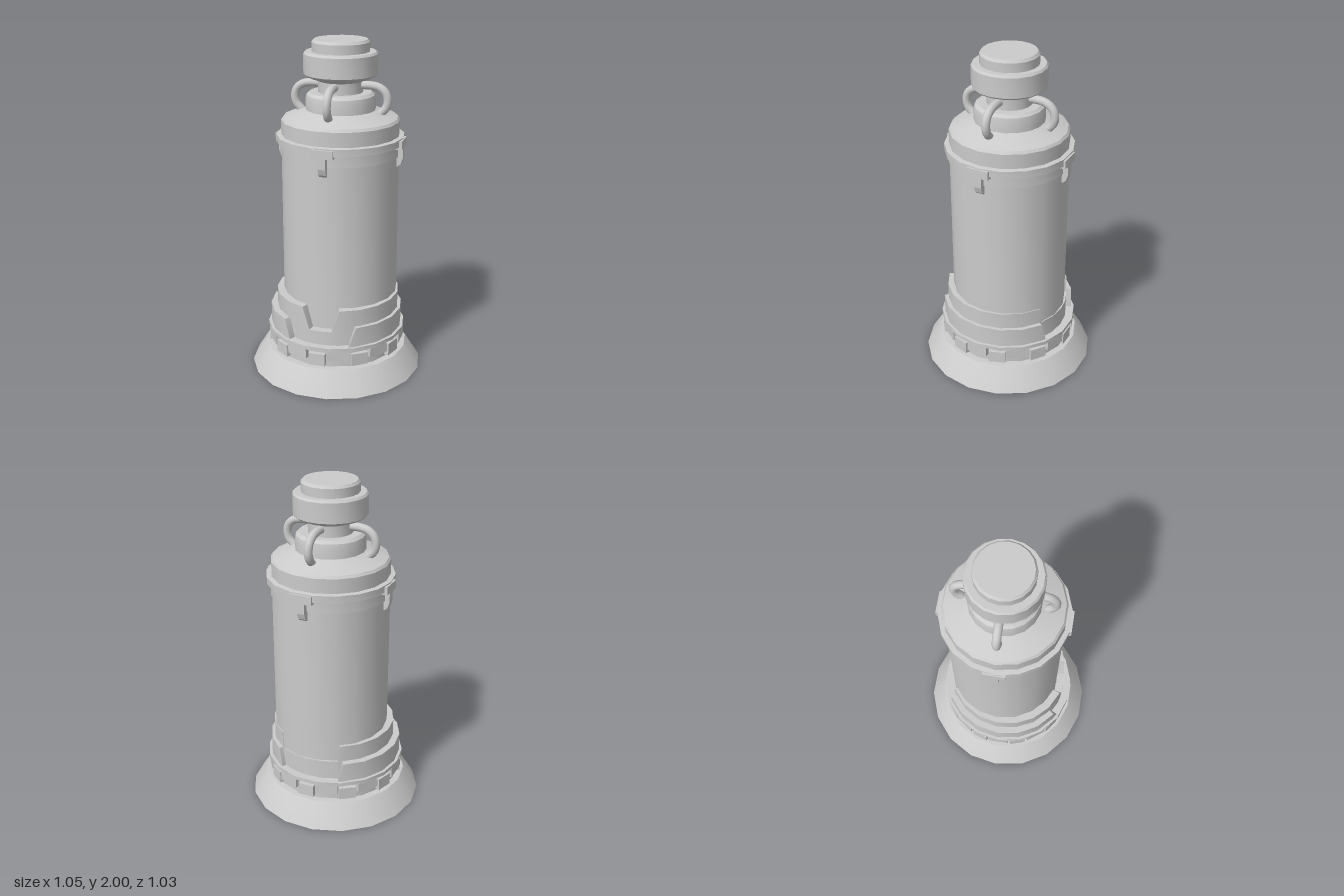
import * as THREE from 'three';
import { toCreasedNormals } from 'three/addons/utils/BufferGeometryUtils.js';

const SIDES = 18;
const RAD = Math.PI / 180;
const material = new THREE.MeshStandardMaterial({ color: 0xcccccc });
const openMaterial = new THREE.MeshStandardMaterial({ color: 0xcccccc, side: THREE.DoubleSide });

function add(parent, name, geometry, mat = material) {
  const mesh = new THREE.Mesh(geometry, mat);
  mesh.name = name;
  parent.add(mesh);
  return mesh;
}

// Turned part from [radius, height] pairs listed upwards
function turned(points) {
  const profile = points.map(([r, y]) => new THREE.Vector2(r, y));
  return toCreasedNormals(new THREE.LatheGeometry(profile, SIDES, 10 * RAD), 0.45);
}

// Curved plate around the body; stations are [angle from front, top height]
function curvedPlate(stations, bottom, rIn, rOut) {
  const positions = [], index = [];
  const section = (deg, top) => {
    const s = Math.sin(deg * RAD), c = Math.cos(deg * RAD);
    for (const [r, y] of [[rIn, bottom], [rOut, bottom], [rOut, top], [rIn, top]]) positions.push(r * s, y, r * c);
  };
  section(...stations[0]);
  for (let i = 1; i < stations.length; i++) {
    const [a0, y0] = stations[i - 1], [a1, y1] = stations[i];
    const steps = Math.ceil((a1 - a0) / 20);
    for (let k = 1; k <= steps; k++) section(a0 + (a1 - a0) * k / steps, y0 + (y1 - y0) * k / steps);
  }
  const count = positions.length / 12;
  for (let i = 0; i < count - 1; i++) {
    for (let j = 0; j < 4; j++) {
      const k = (j + 1) % 4, a = i * 4 + j, b = a + 4, d = i * 4 + k, c = d + 4;
      index.push(a, b, d, b, c, d);
    }
  }
  const e = (count - 1) * 4;
  index.push(0, 1, 2, 0, 2, 3, e, e + 2, e + 1, e, e + 3, e + 2);
  const geometry = new THREE.BufferGeometry();
  geometry.setAttribute('position', new THREE.Float32BufferAttribute(positions, 3));
  geometry.setIndex(index);
  return toCreasedNormals(geometry, 0.45);
}

export function createModel() {
  const model = new THREE.Group();
  model.name = 'canister';

  // Hollow flared foot with a recessed floor
  add(model, 'flaredFoot', turned([[0.523, 0], [0.445, 0.125], [0.432, 0.14], [0.38, 0.142]]), openMaterial);
  const floor = add(model, 'footFloor', new THREE.CircleGeometry(0.435, SIDES));
  floor.rotation.x = Math.PI / 2;
  floor.position.y = 0.128;

  // Block ring with its rim
  add(model, 'ringCore', turned([[0.392, 0.13], [0.392, 0.25]]));
  add(model, 'ringRim', turned([[0.38, 0.247], [0.42, 0.247], [0.42, 0.27], [0.3, 0.27]]));
  for (let i = 0; i < 20; i++) {
    const low = i % 2 === 0;
    const block = add(model, low ? 'lowBlock' : 'highBlock',
      new THREE.BoxGeometry(low ? 0.1 : 0.13, low ? 0.075 : 0.06, 0.05));
    const angle = i * 18 * RAD;
    block.position.set(0.387 * Math.sin(angle), low ? 0.19 : 0.218, 0.387 * Math.cos(angle));
    block.rotation.y = angle;
  }

  // Inner skirt: V notch in front, lowered at the back
  const half = [[10.5, 0.355], [17.5, 0.49], [149, 0.49], [151, 0.388], [180, 0.388]];
  const mirrored = half.map(([a, y]) => [-a, y]).reverse();
  const skirt = add(model, 'innerSkirt', curvedPlate([...mirrored, ...half], 0.265, 0.325, 0.372));
  skirt.position.x = 0.01;

  // Outer skirt: one plate on each side
  const side = [[27, 0.27], [33, 0.388], [148, 0.388], [152, 0.27]];
  add(model, 'outerSkirtLeft', curvedPlate(side, 0.265, 0.35, 0.402));
  add(model, 'outerSkirtRight', curvedPlate(side.map(([a, y]) => [-a, y]).reverse(), 0.265, 0.35, 0.402));

  // Upper assembly sits slightly off the foot's axis
  const upper = new THREE.Group();
  upper.name = 'upperAssembly';
  upper.position.set(0.02, 0, -0.02);
  model.add(upper);

  add(upper, 'body', turned([[0.346, 0.2], [0.346, 1.54], [0.335, 1.555], [0.19, 1.605]]));
  add(upper, 'collar', turned([
    [0.34, 1.34], [0.353, 1.34], [0.353, 1.41], [0.374, 1.41], [0.374, 1.452], [0.34, 1.456],
  ]));
  add(upper, 'neckBase', turned([
    [0.204, 1.59], [0.204, 1.66], [0.198, 1.685], [0.18, 1.7], [0.12, 1.7],
  ]));
  add(upper, 'neck', turned([[0.13, 1.69], [0.13, 1.765], [0.175, 1.785]]));
  add(upper, 'cap', turned([
    [0.12, 1.775], [0.165, 1.778], [0.204, 1.795], [0.214, 1.805],
    [0.214, 1.92], [0.204, 1.932], [0.14, 1.932],
  ]));
  add(upper, 'capTop', turned([[0.167, 1.92], [0.167, 1.985], [0.155, 2], [0, 2]]));

  // Four pipes and four collar clips
  const pipePath = new THREE.CatmullRomCurve3([
    [0.11, 1.743], [0.19, 1.743], [0.235, 1.731], [0.268, 1.7],
    [0.278, 1.655], [0.268, 1.618], [0.235, 1.58],
  ].map(([r, y]) => new THREE.Vector3(0, y, r)));
  const pipeGeometry = new THREE.TubeGeometry(pipePath, 20, 0.024, 10);

  const stem = new THREE.Shape([
    [0.335, 1.4], [0.378, 1.4], [0.378, 1.335], [0.366, 1.3], [0.348, 1.285], [0.335, 1.285],
  ].map(([r, y]) => new THREE.Vector2(r, y)));
  const stemGeometry = new THREE.ExtrudeGeometry(stem, { depth: 0.044, bevelEnabled: false });
  stemGeometry.translate(0, 0, -0.022).rotateY(-Math.PI / 2);

  for (let i = 0; i < 4; i++) {
    const quarter = new THREE.Group();
    quarter.name = 'pipeAndClip';
    quarter.rotation.y = i * Math.PI / 2;
    upper.add(quarter);
    add(quarter, 'pipe', pipeGeometry);
    add(quarter, 'clipStem', stemGeometry);
    const bar = add(quarter, 'clipBar', new THREE.BoxGeometry(0.13, 0.05, 0.04));
    bar.position.set(0, 1.42, 0.36);
  }
  return model;
}
